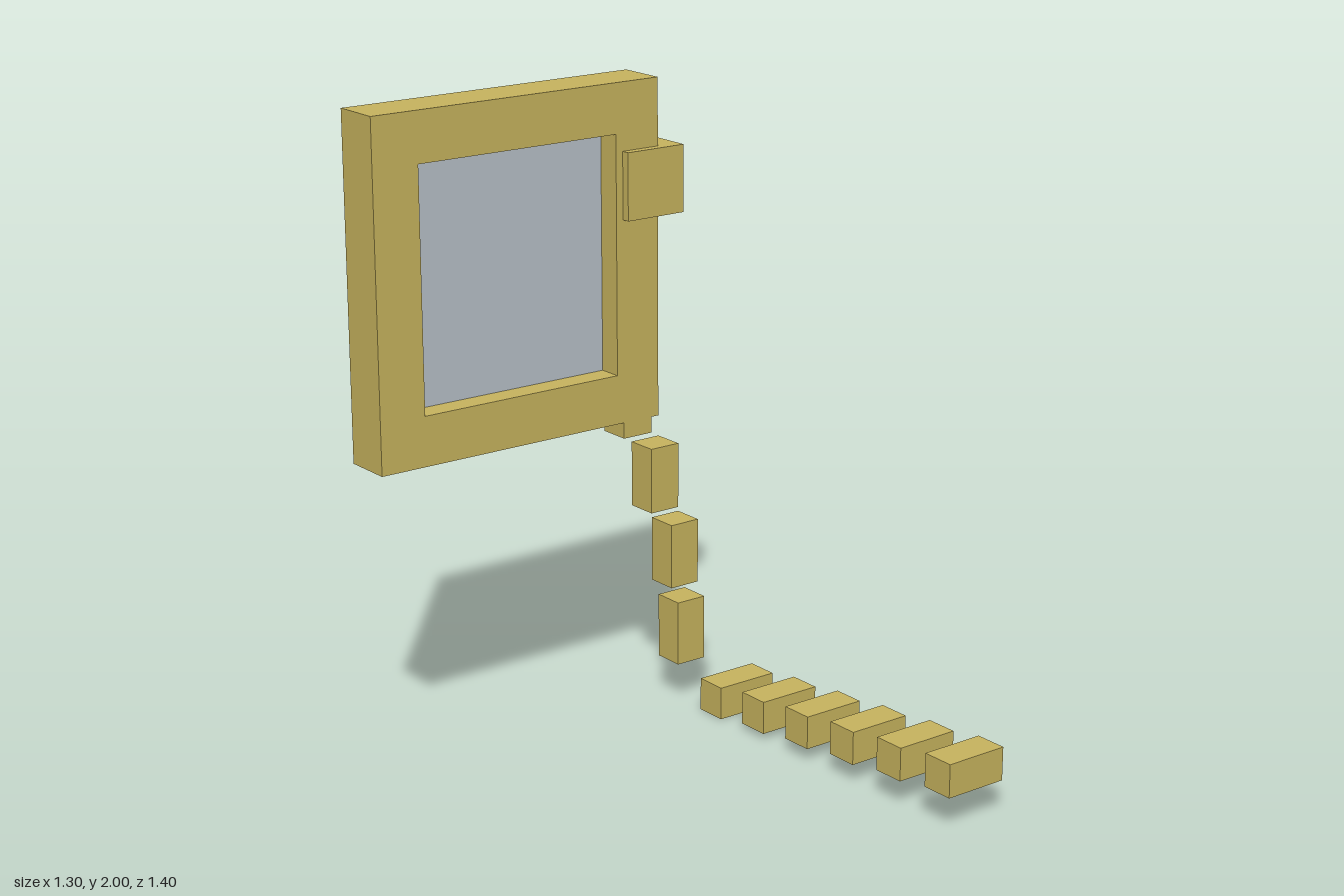
import * as THREE from 'three';

export function createModel() {
  const model = new THREE.Group();
  const gold = new THREE.MeshStandardMaterial({ color: 0xc9b55f });
  gold.name = 'gold';
  const glass = new THREE.MeshStandardMaterial({ color: 0xb9c2ca });
  glass.name = 'pale glass';

  // Box given by its lower and upper corners
  function box(name, [x0, y0, z0], [x1, y1, z1], material = gold, parent = model) {
    const mesh = new THREE.Mesh(new THREE.BoxGeometry(x1 - x0, y1 - y0, z1 - z0), material);
    mesh.position.set((x0 + x1) / 2, (y0 + y1) / 2, (z0 + z1) / 2);
    mesh.name = name;
    parent.add(mesh);
    return mesh;
  }

  function rectangle(PathType, x0, y0, x1, y1) {
    return new PathType([[x0, y0], [x1, y0], [x1, y1], [x0, y1]].map(p => new THREE.Vector2(...p)));
  }

  // Square frame with a window opening
  const outline = rectangle(THREE.Shape, -0.65, 0.965, 0.335, 2);
  outline.holes.push(rectangle(THREE.Path, -0.5, 1.117, 0.182, 1.848));
  const frame = new THREE.Mesh(
    new THREE.ExtrudeGeometry(outline, { depth: 0.154, bevelEnabled: false }), gold);
  frame.position.z = -0.675;
  frame.name = 'frame';
  model.add(frame);

  // Recessed pane
  box('pane', [-0.5, 1.117, -0.622], [0.182, 1.848, -0.596], glass);

  // Block clasped around the frame's side
  box('sideBlock', [0.206, 1.59, -0.7], [0.411, 1.795, -0.495]);

  // Hanging links, the first sunk into the frame's lower edge
  const hangingLinks = new THREE.Group();
  hangingLinks.name = 'hangingLinks';
  [[0.206, 0.915], [0.309, 0.655], [0.386, 0.393], [0.412, 0.132]].forEach(([x, y], i) =>
    box(`hangingLink${i + 1}`, [x, y, -0.622], [x + 0.103, y + 0.206, -0.5215], gold, hangingLinks));
  model.add(hangingLinks);

  // Row of lying links that rises gently toward the front
  const lyingLinks = new THREE.Group();
  lyingLinks.name = 'lyingLinks';
  for (let i = 0; i < 6; i++) {
    const y = i * 0.0212, z = -0.442 + i * 0.2075;
    box(`lyingLink${i + 1}`, [0.44, y, z], [0.646, y + 0.104, z + 0.103], gold, lyingLinks);
  }
  model.add(lyingLinks);

  return model;
}
